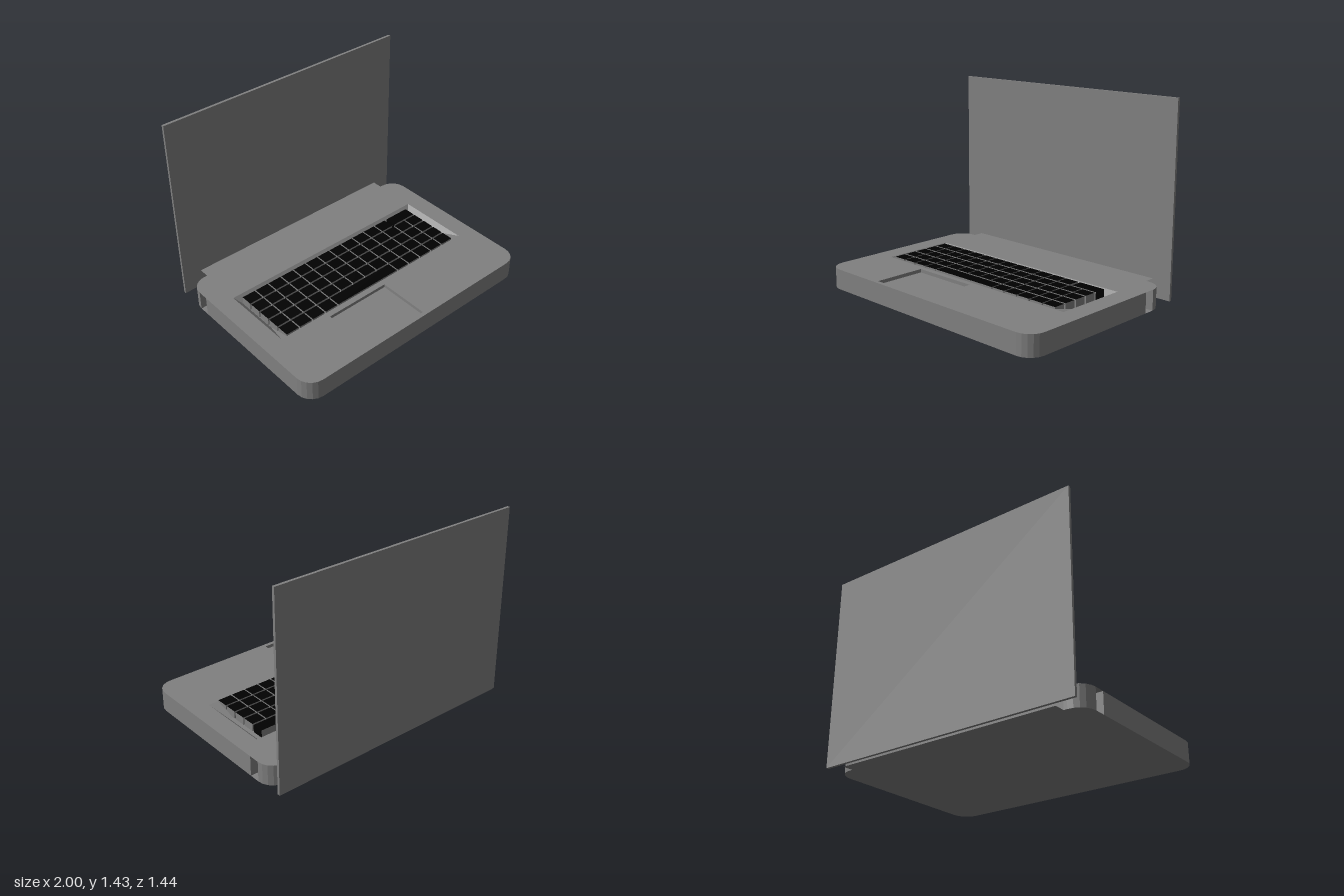
import * as THREE from 'three';

const grey = new THREE.MeshStandardMaterial({ color: 0x808080, flatShading: true });
const sheet = new THREE.MeshStandardMaterial({ color: 0x808080, flatShading: true, side: THREE.DoubleSide });
const black = new THREE.MeshStandardMaterial({ color: 0x000000, flatShading: true });
const H = 0.15; // height of the base

function add(group, name, geometry, material = grey) {
  const mesh = new THREE.Mesh(geometry, material);
  mesh.name = name;
  group.add(mesh);
  return mesh;
}

// Closed ribbon of quads between two [x, z] loops at heights y0 and y1
function band(low, y0, high, y1) {
  const v = [];
  for (let i = 0; i < low.length; i++) {
    const j = (i + 1) % low.length;
    const a = [low[i][0], y0, low[i][1]];
    const b = [low[j][0], y0, low[j][1]];
    const c = [high[j][0], y1, high[j][1]];
    const d = [high[i][0], y1, high[i][1]];
    v.push(...a, ...b, ...c, ...a, ...c, ...d);
  }
  const g = new THREE.BufferGeometry();
  g.setAttribute('position', new THREE.Float32BufferAttribute(v, 3));
  g.computeVertexNormals();
  return g;
}

// Horizontal face from an [x, z] outline, facing up (sign 1) or down (sign -1)
function face(points, y, sign = 1, holes = []) {
  const toVec = ([x, z]) => new THREE.Vector2(x, -z * sign);
  const shape = new THREE.Shape(points.map(toVec));
  holes.forEach((h) => shape.holes.push(new THREE.Path(h.map(toVec))));
  return new THREE.ShapeGeometry(shape).rotateX(-sign * Math.PI / 2).translate(0, y, 0);
}

const rect = (x0, x1, z0, z1) => [[x1, z1], [x0, z1], [x0, z0], [x1, z0]];
const mirror = (pts) => pts.map(([x, z]) => [-x, z]).reverse();

// Quarter-round corner of radius 0.12, from angle a0 (0 = +x, 90 degrees = +z) turning towards -z
function corner(cx, cz, a0) {
  const pts = [];
  for (let i = 0; i <= 5; i++) {
    const a = a0 - (i / 5) * Math.PI / 2;
    pts.push([cx + 0.12 * Math.cos(a), cz + 0.12 * Math.sin(a)]);
  }
  return pts;
}

function createBase() {
  const base = new THREE.Group();
  base.name = 'base';

  // Front and rear blocks, with an open slot running across between them
  const frontHalf = [...corner(0.88, 0.6, Math.PI / 2), [1, -0.42]];
  const rearHalf = [...corner(0.88, -0.5, 0), [0.855, -0.62]];
  const frontLoop = [...frontHalf, ...mirror(frontHalf)];
  const rearLoop = [...rearHalf, ...mirror(rearHalf)];
  add(base, 'frontBlockWalls', band(frontLoop, 0, frontLoop, H));
  add(base, 'rearBlockWalls', band(rearLoop, 0, rearLoop, H));

  // Deck and bottom plates, reaching back to the lid as a tongue
  const half = [...frontHalf, ...rearHalf, [0.855, -0.7]];
  const outline = [...half, ...mirror(half)];
  const wellTop = rect(-0.855, 0.855, -0.295, 0.26);
  const wellFloor = rect(-0.81, 0.81, -0.25, 0.08);
  const pad = rect(-0.467, 0.043, 0.3, 0.69);
  add(base, 'deck', face(outline, H, 1, [wellTop, pad]), sheet);
  add(base, 'bottom', face(outline, 0, -1), sheet);

  // Keyboard well with a long front ramp
  add(base, 'keyboardWellWalls', band(wellFloor, 0.105, wellTop, H));
  add(base, 'keyboardWellFloor', face(wellFloor, 0.105));

  // Sunken trackpad
  add(base, 'trackpadRim', band(pad, 0.125, pad, H));
  add(base, 'trackpad', face(pad, 0.125));
  return base;
}

function createKeyboard() {
  const keyboard = new THREE.Group();
  keyboard.name = 'keyboard';
  const pitch = 0.1141, gap = 0.01;
  // Black tops, grey sides
  const capped = [grey, grey, black, grey, grey, grey];
  const blackEnds = [black, black, black, grey, grey, grey];

  function key(name, row, col, span, material) {
    const w = span * pitch - gap;
    const mesh = add(keyboard, name, new THREE.BoxGeometry(w, 0.058, 0.089), material);
    mesh.position.set(-0.808 + col * pitch + w / 2, 0.133, -0.202 + row * 0.1027);
  }

  for (let row = 0; row < 5; row++) {
    for (let col = 0; col < 14; col++) {
      if (row === 0 && col >= 12) continue;
      if (row === 4 && col >= 4 && col <= 8) continue;
      key('key', row, col, 1, capped);
    }
  }
  key('wideKey', 0, 12.1, 1.9, blackEnds);
  key('spaceBar', 4, 4, 5, capped);
  return keyboard;
}

export function createModel() {
  const model = new THREE.Group();
  model.name = 'laptop';
  model.add(createBase(), createKeyboard());

  // Upright lid behind the hinge
  const lid = add(model, 'screenLid', new THREE.BoxGeometry(2, 1.415, 0.02));
  lid.position.set(0, 0.7225, -0.71);
  return model;
}
